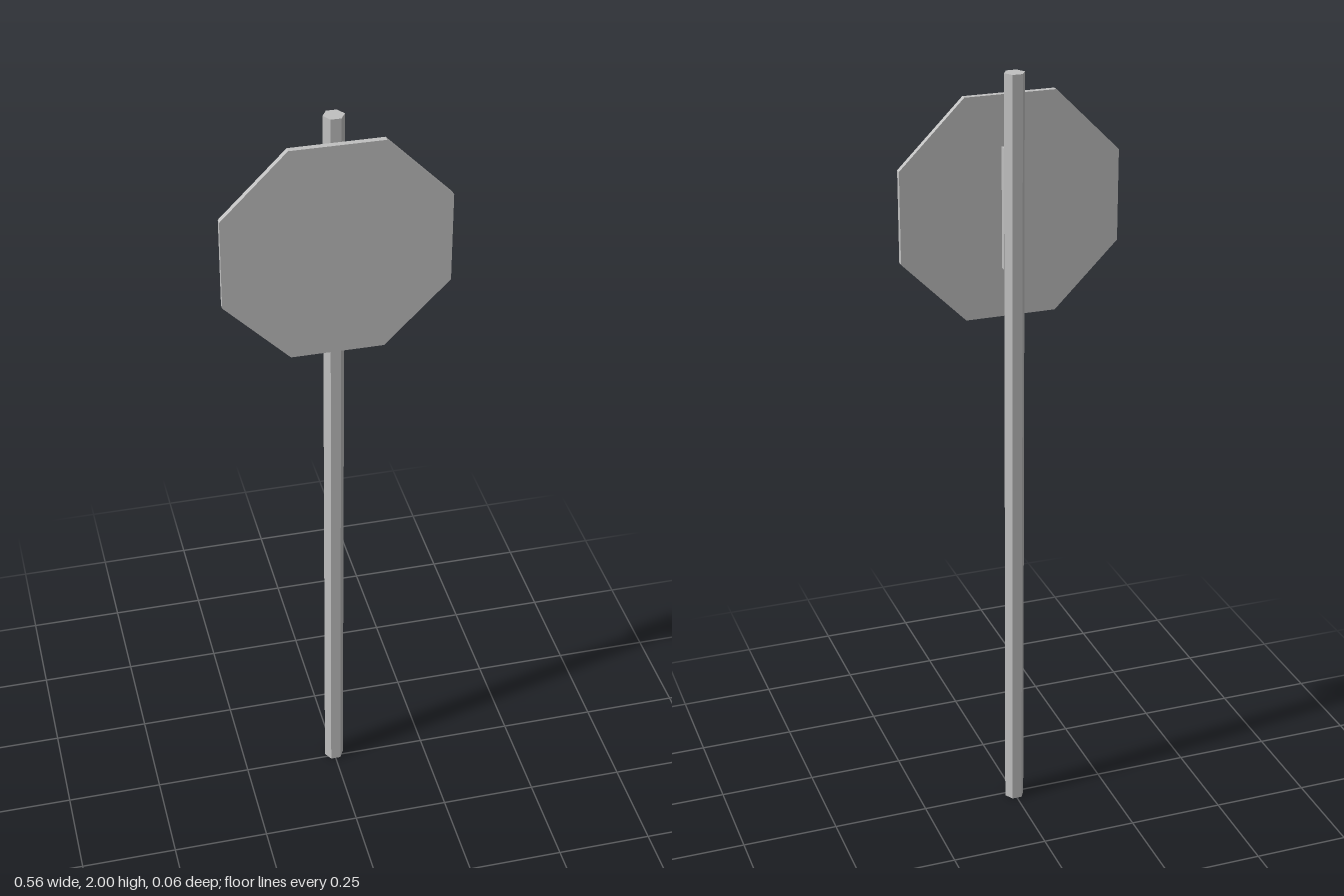
import * as THREE from 'three';

export function createModel() {
  const group = new THREE.Group();
  const metal = new THREE.MeshStandardMaterial({ color: 0xc0c0c0 });
  metal.name = 'grey metal';
  metal.flatShading = true;

  const add = (name, geometry, x, y, z) => {
    const mesh = new THREE.Mesh(geometry, metal);
    mesh.name = name;
    mesh.position.set(x, y, z);
    group.add(mesh);
  };

  // Regular prism along y, turned by thetaStart
  const prism = (radius, height, sides, start) =>
    new THREE.CylinderGeometry(radius, radius, height, sides, 1, false, start);

  // Hexagonal post with corners pointing sideways
  add('post', prism(0.026, 2, 6, Math.PI / 6), 0, 1, -0.011);

  // Octagonal plate, flat sides up and down
  const plate = prism(0.279 / Math.cos(Math.PI / 8), 0.015, 8, Math.PI / 8);
  plate.rotateX(Math.PI / 2);
  add('signPlate', plate, 0, 1.664, 0.0225);

  // Mounting block between post and plate
  add('bracket', new THREE.BoxGeometry(0.046, 0.305, 0.017), 0, 1.663, 0.0075);

  return group;
}
